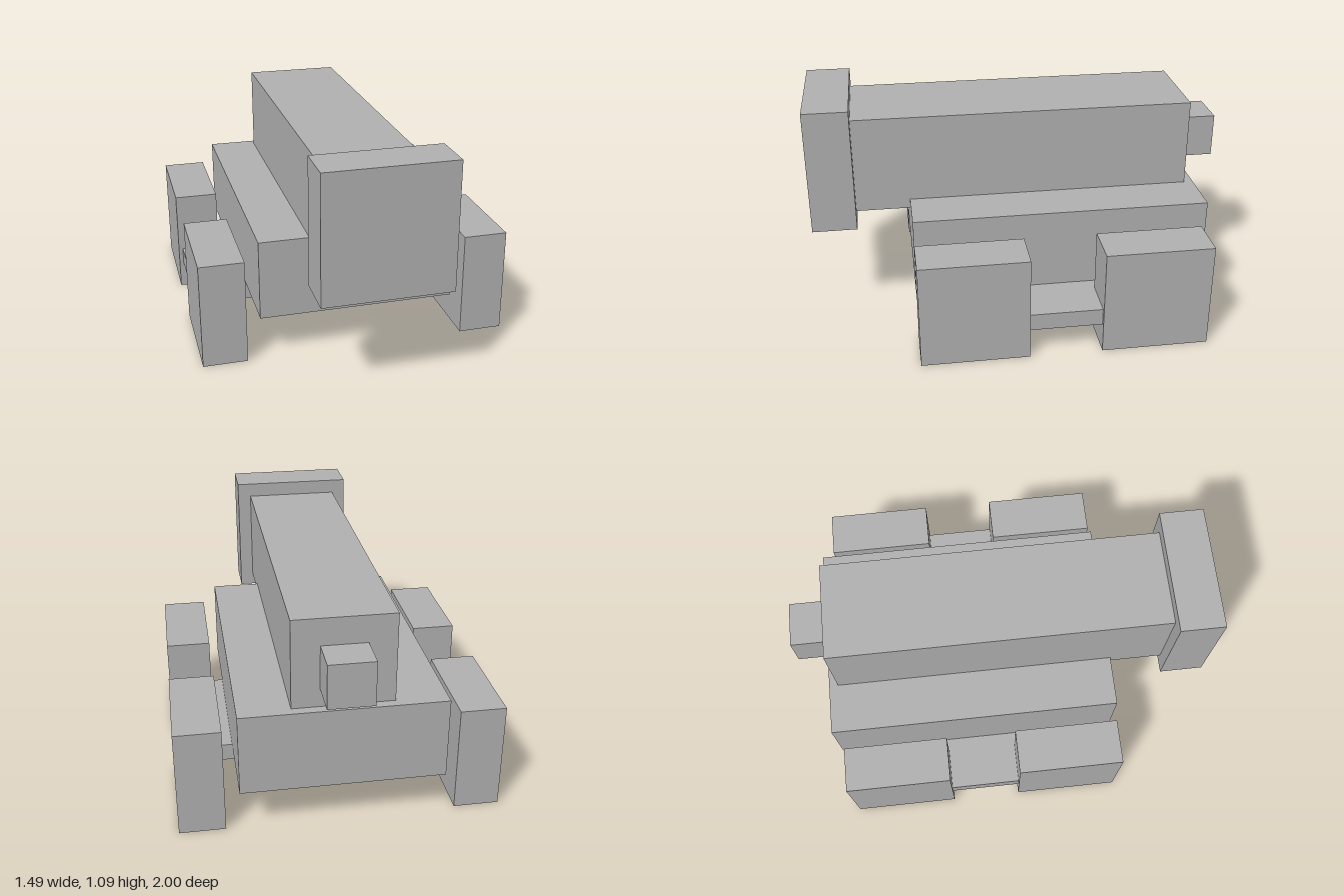
import * as THREE from 'three';

export function createModel() {
  const model = new THREE.Group();
  model.name = 'cannon';
  const gray = new THREE.MeshStandardMaterial({ color: 0xb2b2b2 });
  gray.name = 'plain gray';

  // Adds a box from its minimum and maximum corners
  function addBox(name, [x0, y0, z0], [x1, y1, z1]) {
    const mesh = new THREE.Mesh(new THREE.BoxGeometry(x1 - x0, y1 - y0, z1 - z0), gray);
    mesh.name = name;
    mesh.position.set((x0 + x1) / 2, (y0 + y1) / 2, (z0 + z1) / 2);
    model.add(mesh);
  }

  // Gun: wide muzzle block, long barrel and rear knob
  addBox('muzzle', [-0.298, 0.493, 0.789], [0.298, 1.092, 1]);
  addBox('barrel', [-0.231, 0.556, -0.828], [0.231, 1.022, 0.789]);
  addBox('rearKnob', [-0.104, 0.686, -1], [0.104, 0.894, -0.828]);

  // Carriage body and the plate that carries the wheels
  addBox('carriage', [-0.468, 0.216, -0.872], [0.468, 0.601, 0.531]);
  addBox('axlePlate', [-0.724, 0.134, -0.472], [0.724, 0.216, 0.167]);

  // Four square wheel blocks, mirrored across x
  for (const [side, x0, x1] of [['left', 0.532, 0.744], ['right', -0.744, -0.532]]) {
    addBox(side + 'FrontWheel', [x0, 0, 0.022], [x1, 0.512, 0.531]);
    addBox(side + 'BackWheel', [x0, 0, -0.828], [x1, 0.512, -0.321]);
  }

  return model;
}
